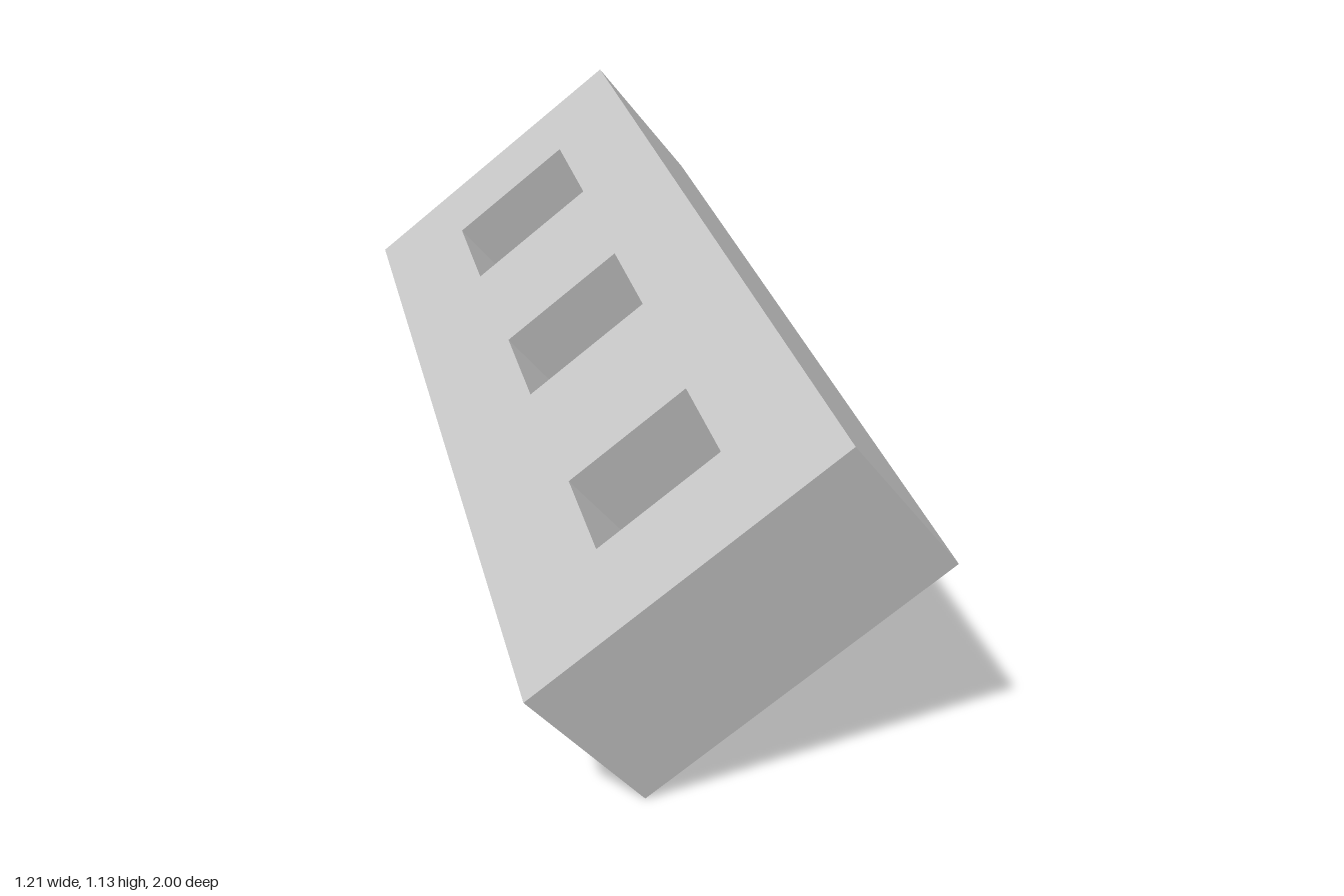
import * as THREE from 'three';

const WIDTH = 0.778, LENGTH = 1.861, DEPTH = 0.395;

// trace a rectangle given its centre and size
function rectangle(path, cx, cy, w, h) {
  path.moveTo(cx - w / 2, cy - h / 2);
  path.lineTo(cx + w / 2, cy - h / 2);
  path.lineTo(cx + w / 2, cy + h / 2);
  path.lineTo(cx - w / 2, cy + h / 2);
  path.closePath();
  return path;
}

export function createModel() {
  const model = new THREE.Group();
  model.name = 'slottedBlock';
  const grey = new THREE.MeshStandardMaterial({ color: 0xc4c4c4 });
  grey.name = 'light grey';

  // three through-holes, growing slightly along the block
  const holes = [
    { y: -0.587, w: 0.311, h: 0.233 },
    { y: 0.002, w: 0.325, h: 0.246 },
    { y: 0.587, w: 0.339, h: 0.262 },
  ];

  // block: rectangle with holes, extruded through its thickness
  const outline = rectangle(new THREE.Shape(), 0, 0, WIDTH, LENGTH);
  for (const { y, w, h } of holes) {
    outline.holes.push(rectangle(new THREE.Path(), 0.014, y, w, h));
  }
  const blockGeometry = new THREE.ExtrudeGeometry(outline, { depth: DEPTH, bevelEnabled: false });
  blockGeometry.translate(0, 0, -DEPTH / 2);
  const block = new THREE.Mesh(blockGeometry, grey);
  block.name = 'block';
  model.add(block);

  // raised tally bars on the underside: one, two and three beside the holes
  const rise = 0.026;
  const barGeometry = new THREE.BoxGeometry(0.095, 0.035, rise);
  holes.forEach(({ y }, i) => {
    const tally = new THREE.Group();
    tally.name = `tallyBars${i + 1}`;
    for (let k = 0; k <= i; k++) {
      const bar = new THREE.Mesh(barGeometry, grey);
      bar.name = 'tallyBar';
      bar.position.set(0.267, y + (k - i / 2) * 0.073, -DEPTH / 2 - rise / 2);
      tally.add(bar);
    }
    model.add(tally);
  });

  // tilt the whole block
  const across = new THREE.Vector3(0.565, 0.49, 0.215).normalize();
  const normal = new THREE.Vector3(-0.26, 0.297, 0).normalize();
  const along = new THREE.Vector3().crossVectors(normal, across).normalize();
  normal.crossVectors(across, along);
  model.setRotationFromMatrix(new THREE.Matrix4().makeBasis(across, along, normal));
  model.position.y = 0.563;

  const root = new THREE.Group();
  root.name = 'model';
  root.add(model);
  return root;
}
